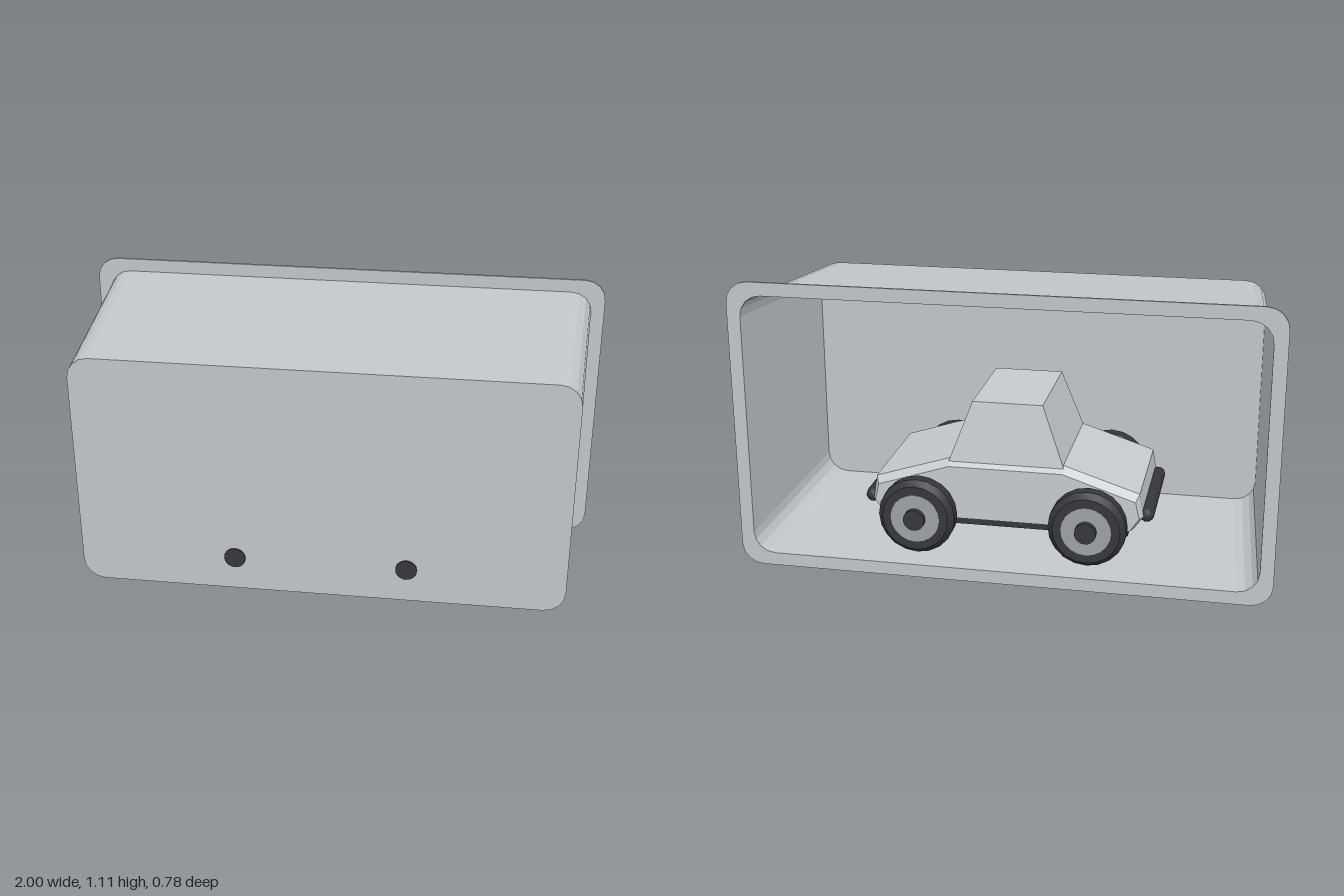
import * as THREE from 'three';
import { toCreasedNormals } from 'three/addons/utils/BufferGeometryUtils.js';

const mat = (name, color, opts = {}) => {
  const m = new THREE.MeshStandardMaterial({ color, ...opts });
  m.name = name;
  return m;
};

// Counter-clockwise rounded rectangle as points
function roundedRect(halfW, y0, y1, r, steps = 4) {
  const corners = [[halfW - r, y1 - r], [r - halfW, y1 - r], [r - halfW, y0 + r], [halfW - r, y0 + r]];
  const pts = [];
  corners.forEach(([cx, cy], c) => {
    for (let i = 0; i <= steps; i++) {
      const a = (c + i / steps) * Math.PI / 2;
      pts.push(new THREE.Vector2(cx + r * Math.cos(a), cy + r * Math.sin(a)));
    }
  });
  return pts;
}

// Joins cross-sections (arrays of [x, y, z]) into a skin with flat faces
function loft(rings, capEnds = false) {
  const n = rings[0].length, pos = rings.flat(2), idx = [];
  for (let k = 0; k < rings.length - 1; k++) {
    for (let i = 0; i < n; i++) {
      const a = k * n + i, b = k * n + (i + 1) % n;
      idx.push(a, b, b + n, a, b + n, a + n);
    }
  }
  if (capEnds) {
    const last = (rings.length - 1) * n;
    for (let i = 1; i < n - 1; i++) idx.push(0, i + 1, i, last, last + i, last + i + 1);
  }
  const g = new THREE.BufferGeometry();
  g.setAttribute('position', new THREE.Float32BufferAttribute(pos, 3));
  g.setIndex(idx);
  const flat = g.toNonIndexed();
  flat.computeVertexNormals();
  return flat;
}

export function createModel() {
  const model = new THREE.Group();
  model.name = 'boxedToyCar';
  const trayMat = mat('tray grey', 0xc4c5c9, { side: THREE.DoubleSide });
  const bodyMat = mat('car body grey', 0xc8cacc);
  const hubMat = mat('hub grey', 0xa0a1a4);
  const darkMat = mat('rubber black', 0x37373a);

  const add = (parent, name, geo, material, x = 0, y = 0, z = 0) => {
    const m = new THREE.Mesh(geo, material);
    m.name = name;
    m.position.set(x, y, z);
    parent.add(m);
    return m;
  };

  // Tapered tray: closed at the front, open at the back
  const tray = new THREE.Group();
  tray.name = 'tray';
  model.add(tray);
  const frontRim = roundedRect(0.905, 0.097, 1.01, 0.08);
  const backRim = roundedRect(0.95, 0.05, 1.055, 0.08);
  const at = (pts, z) => pts.map(p => [p.x, p.y, z]);
  add(tray, 'trayWalls', loft([at(backRim, -0.38), at(frontRim, 0.38)]), trayMat);
  add(tray, 'frontPanel', new THREE.ExtrudeGeometry(new THREE.Shape(frontRim),
    { depth: 0.006, bevelEnabled: false }), trayMat, 0, 0, 0.379);
  const flangeShape = new THREE.Shape(roundedRect(1, 0, 1.105, 0.08));
  flangeShape.holes.push(new THREE.Path(backRim));
  add(tray, 'flange', new THREE.ExtrudeGeometry(flangeShape,
    { depth: 0.01, bevelEnabled: false }), trayMat, 0, 0, -0.385);

  // Car
  const car = new THREE.Group();
  car.name = 'car';
  model.add(car);

  // Lower body with hood and trunk sloping to the ends, narrower at the top
  const half = [[0.48, 0.2], [0.515, 0.25], [0.5, 0.34], [0.22, 0.43]];
  const profile = [...half, ...half.map(([x, y]) => [-x, y]).reverse()];
  const section = (inset, z) => profile.map(([x, y]) => [x * (1 - inset), y - (y > 0.3 ? inset : 0), z]);
  add(car, 'lowerBody', loft([section(0.025, -0.265), section(0, -0.24),
    section(0, 0.24), section(0.025, 0.265)], true), bodyMat);

  // Tapered cabin
  const cabinGeo = new THREE.BoxGeometry(0.44, 0.235, 0.5);
  const p = cabinGeo.attributes.position;
  for (let i = 0; i < p.count; i++) {
    if (p.getY(i) > 0) {
      p.setX(i, p.getX(i) * 0.6);
      p.setZ(i, p.getZ(i) * 0.86);
    }
  }
  cabinGeo.computeVertexNormals();
  add(car, 'cabin', cabinGeo, bodyMat, 0, 0.5325, 0);

  add(car, 'chassis', new THREE.BoxGeometry(0.92, 0.035, 0.5), darkMat, 0, 0.19, 0);

  // Wheels lie along z; each profile is revolved around the axle
  const tyreGeo = toCreasedNormals(new THREE.LatheGeometry(
    [[0.09, -0.045], [0.125, -0.045], [0.145, -0.022], [0.145, 0.022], [0.125, 0.045], [0.09, 0.045]]
      .map(([r, y]) => new THREE.Vector2(r, y)), 20).rotateX(Math.PI / 2), 0.5);
  const disc = (r, h) => new THREE.CylinderGeometry(r, r, h, 20).rotateX(Math.PI / 2);
  for (const x of [-0.32, 0.32]) {
    add(car, 'axle', disc(0.03, 0.6), darkMat, x, 0.23, 0);
    for (const s of [-1, 1]) {
      const wheel = new THREE.Group();
      wheel.name = 'wheel';
      wheel.position.set(x, 0.23, s * 0.322);
      car.add(wheel);
      add(wheel, 'tyre', tyreGeo, darkMat);
      add(wheel, 'hub', disc(0.093, 0.096), hubMat);
      add(wheel, 'hubCap', disc(0.04, 0.03), darkMat, 0, 0, s * 0.053);
    }
  }

  // Bumper bars at both ends
  for (const s of [-1, 1]) {
    add(car, 'bumper', new THREE.CapsuleGeometry(0.028, 0.42, 4, 10).rotateX(Math.PI / 2),
      darkMat, s * 0.525, 0.25, 0);
  }
  return model;
}
